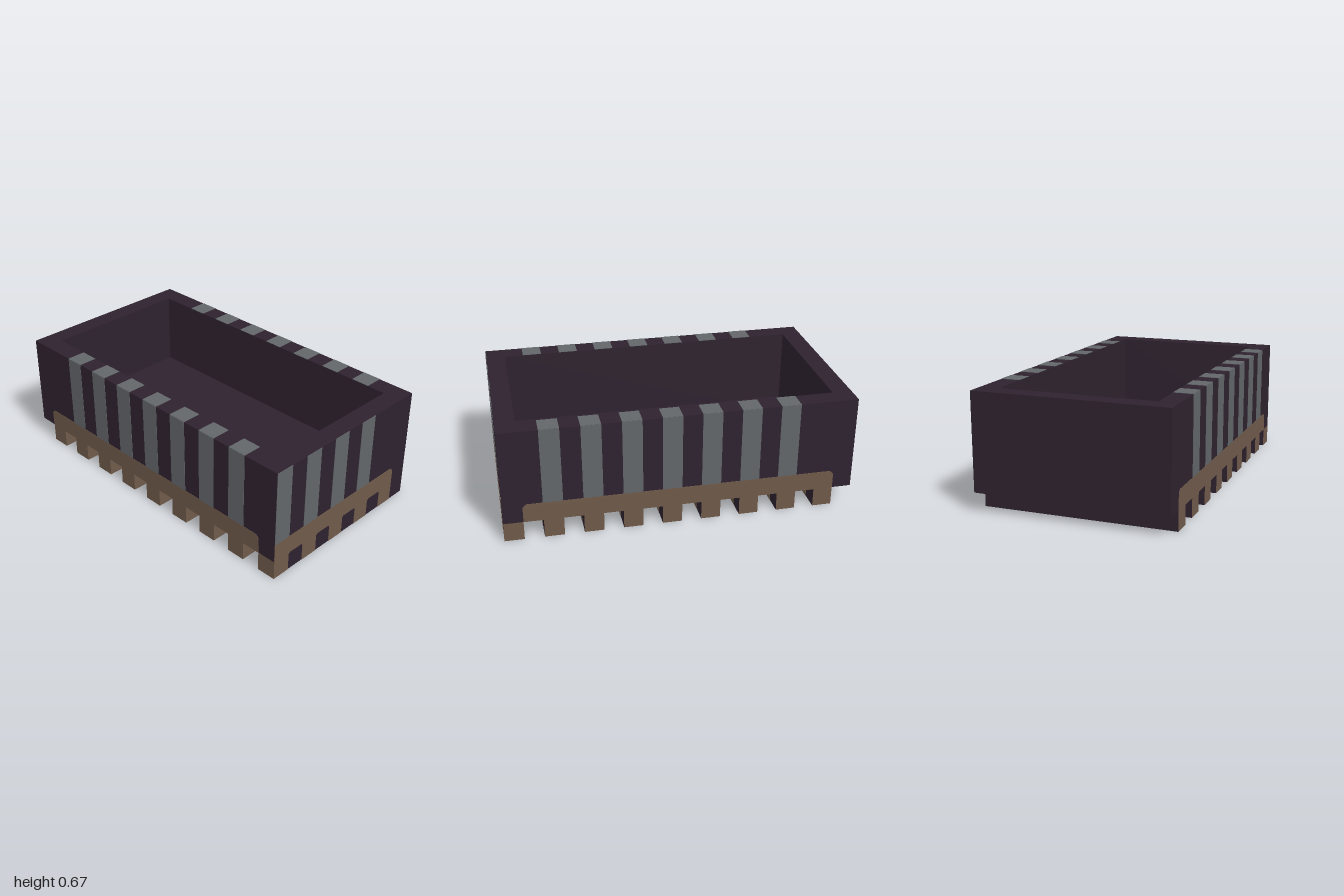
import * as THREE from 'three';

const U = 1 / 9;                 // module: wall, slat and stripe width
const HX = 9 * U, HZ = 5 * U, TOP = 6 * U;
const SKIN = 0.004;              // thickness of painted plates
const C = 0.02;                  // small corner cut

const material = (name, color) => {
  const m = new THREE.MeshStandardMaterial({ color });
  m.name = name;
  return m;
};

export function createModel() {
  const dark = material('dark body', 0x2e222f);
  const grey = material('grey stripe', 0x62666a);
  const brown = material('brown wood', 0x6f5a4a);
  const model = new THREE.Group();
  model.name = 'slattedCrate';

  const add = (name, geometry, mat, x = 0, y = 0, z = 0) => {
    const mesh = new THREE.Mesh(geometry, mat);
    mesh.name = name;
    mesh.position.set(x, y, z);
    model.add(mesh);
    return mesh;
  };
  const box = (name, w, h, d, mat, x, y, z) =>
    add(name, new THREE.BoxGeometry(w, h, d), mat, x, y, z);
  const plate = (points) => {
    const shape = new THREE.Shape(points.map(([x, y]) => new THREE.Vector2(x, y)));
    return new THREE.ExtrudeGeometry(shape, { depth: SKIN, bevelEnabled: false })
      .translate(0, 0, -SKIN / 2);
  };
  const rect = (hx, hz) => [[-hx, -hz], [hx, -hz], [hx, hz], [-hx, hz]]
    .map(([x, z]) => new THREE.Vector2(x, z));

  // Open box: wall ring and floor
  const ring = new THREE.Shape(rect(HX, HZ));
  ring.holes.push(new THREE.Path(rect(HX - U, HZ - U)));
  const walls = new THREE.ExtrudeGeometry(ring, { depth: TOP - U, bevelEnabled: false });
  walls.rotateX(-Math.PI / 2);
  add('walls', walls, dark, 0, U, 0);
  box('floor', 2 * (HX - U), U, 2 * (HZ - U), dark, 0, 1.5 * U, 0);

  // Floor slats: brown ends, brown patches along the right side
  for (let i = 0; i < 9; i++) {
    const x = (-7.5 + 2 * i) * U;
    box('slat', U, U, 2 * HZ, [dark, dark, dark, dark, brown, brown], x, U / 2, 0);
    if (i === 8) continue;
    for (let k = 0; k < 5; k++) {
      box('slatPatch', SKIN, U, U, brown, x + U / 2, U / 2, (4.5 - 2 * k) * U);
    }
  }

  // Front and back: brown apron and grey stripes that wrap over the rim
  const apron = plate([
    [-8 * U, U], [8 * U, U], [8 * U, 2 * U - C], [8 * U - C, 2 * U],
    [-8 * U + C, 2 * U], [-8 * U, 2 * U - C],
  ]);
  for (const s of [1, -1]) {
    add(s > 0 ? 'frontApron' : 'backApron', apron, brown, 0, 0, s * HZ);
    for (let i = 0; i < 7; i++) {
      const x = (-5.5 + 2 * i) * U;
      box('wallStripe', U, 4 * U, SKIN, grey, x, 4 * U, s * HZ);
      box('rimStripe', U, SKIN, U, grey, x, TOP, s * (HZ - U / 2));
    }
  }

  // Right end: notched apron and four grey stripes
  const outline = [[-5 * U, 0]];
  for (const n of [-4, -2, 0, 2]) {
    const a = n * U, b = a + U;
    outline.push([a, 0], [a, U - C / 2], [a + C / 2, U], [b - C / 2, U], [b, U - C / 2], [b, 0]);
  }
  outline.push([4 * U, 0], [4 * U, 2 * U - C], [4 * U - C, 2 * U], [-5 * U, 2 * U]);
  add('rightApron', plate(outline), brown, HX, 0, 0).rotation.y = Math.PI / 2;
  for (let k = 0; k < 4; k++) {
    box('endStripe', SKIN, 4 * U, U, grey, HX, 4 * U, (4.5 - 2 * k) * U);
  }

  return model;
}
